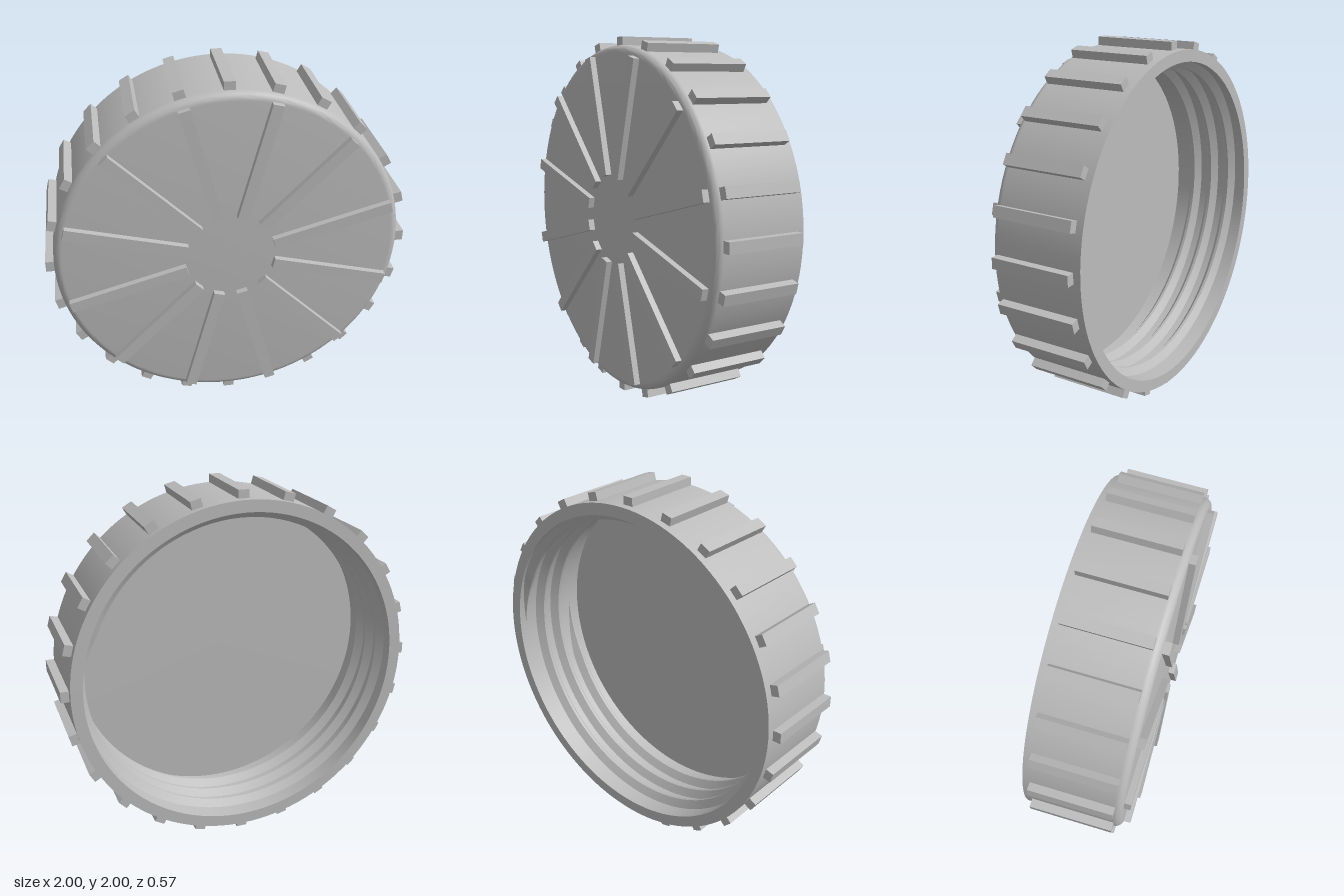
import * as THREE from 'three';
import { toCreasedNormals } from 'three/addons/utils/BufferGeometryUtils.js';

const OUTER = 0.955, INNER = 0.89;
const BACK = -0.285, FRONT = 0.25, FLOOR = 0.19, FILLET = 0.045;

// Closed cup profile (radius, z), turned about the z axis
function capGeometry() {
  const pts = [[0, FLOOR], [INNER, FLOOR], [INNER, BACK], [OUTER, BACK]]
    .map(([r, z]) => new THREE.Vector2(r, z));
  for (let i = 0; i <= 8; i++) {
    const a = (i / 8) * Math.PI / 2;
    pts.push(new THREE.Vector2(
      OUTER - FILLET + FILLET * Math.cos(a),
      FRONT - FILLET + FILLET * Math.sin(a)));
  }
  pts.push(new THREE.Vector2(0, FRONT));
  const geo = new THREE.LatheGeometry(pts, 120).rotateX(Math.PI / 2);
  return toCreasedNormals(geo, 0.6);
}

// Right-handed helical ridge on the inner wall, tapered at both ends
function threadGeometry(turns, zStart, pitch) {
  const steps = turns * 96, pos = [], index = [];
  for (let i = 0; i <= steps; i++) {
    const t = i / steps, a = t * turns * Math.PI * 2;
    const z = zStart + t * turns * pitch;
    const taper = Math.min(1, Math.min(i, steps - i) / 6);
    const h = 0.04 * taper, w = 0.042 * taper, crest = 0.008 * taper;
    const section = [[INNER + 0.003, -w], [INNER - h, -crest], [INNER - h, crest], [INNER + 0.003, w]];
    for (const [r, dz] of section) pos.push(r * Math.cos(a), r * Math.sin(a), z + dz);
    if (i === steps) break;
    for (let j = 0; j < 3; j++) {
      const p = i * 4 + j, q = p + 4;
      index.push(p, p + 1, q, p + 1, q + 1, q);
    }
  }
  const geo = new THREE.BufferGeometry();
  geo.setAttribute('position', new THREE.Float32BufferAttribute(pos, 3));
  geo.setIndex(index);
  return toCreasedNormals(geo, 0.5);
}

export function createModel() {
  const model = new THREE.Group();
  model.name = 'screwCap';
  const grey = new THREE.MeshStandardMaterial({ color: 0xbcbcbc });
  grey.name = 'grey plastic';

  const cap = new THREE.Group();
  cap.name = 'cap';
  cap.position.y = 1;
  model.add(cap);

  const add = (name, geo, angle = 0) => {
    const mesh = new THREE.Mesh(geo, grey);
    mesh.name = name;
    mesh.rotation.z = angle;
    cap.add(mesh);
  };

  add('capBody', capGeometry());
  add('innerThread', threadGeometry(3, -0.24, 0.12));

  // Grip ribs around the rim
  const grip = new THREE.BoxGeometry(0.07, 0.06, 0.455).translate(0.965, 0, -0.0175);
  for (let i = 0; i < 24; i++) add('gripRib', grip, i * Math.PI / 12);

  // Raised spokes on the front face
  const spoke = new THREE.BoxGeometry(0.67, 0.062, 0.045).translate(0.583, 0, 0.2625);
  for (let i = 0; i < 12; i++) add('faceRib', spoke, (i + 0.5) * Math.PI / 6);

  return model;
}
